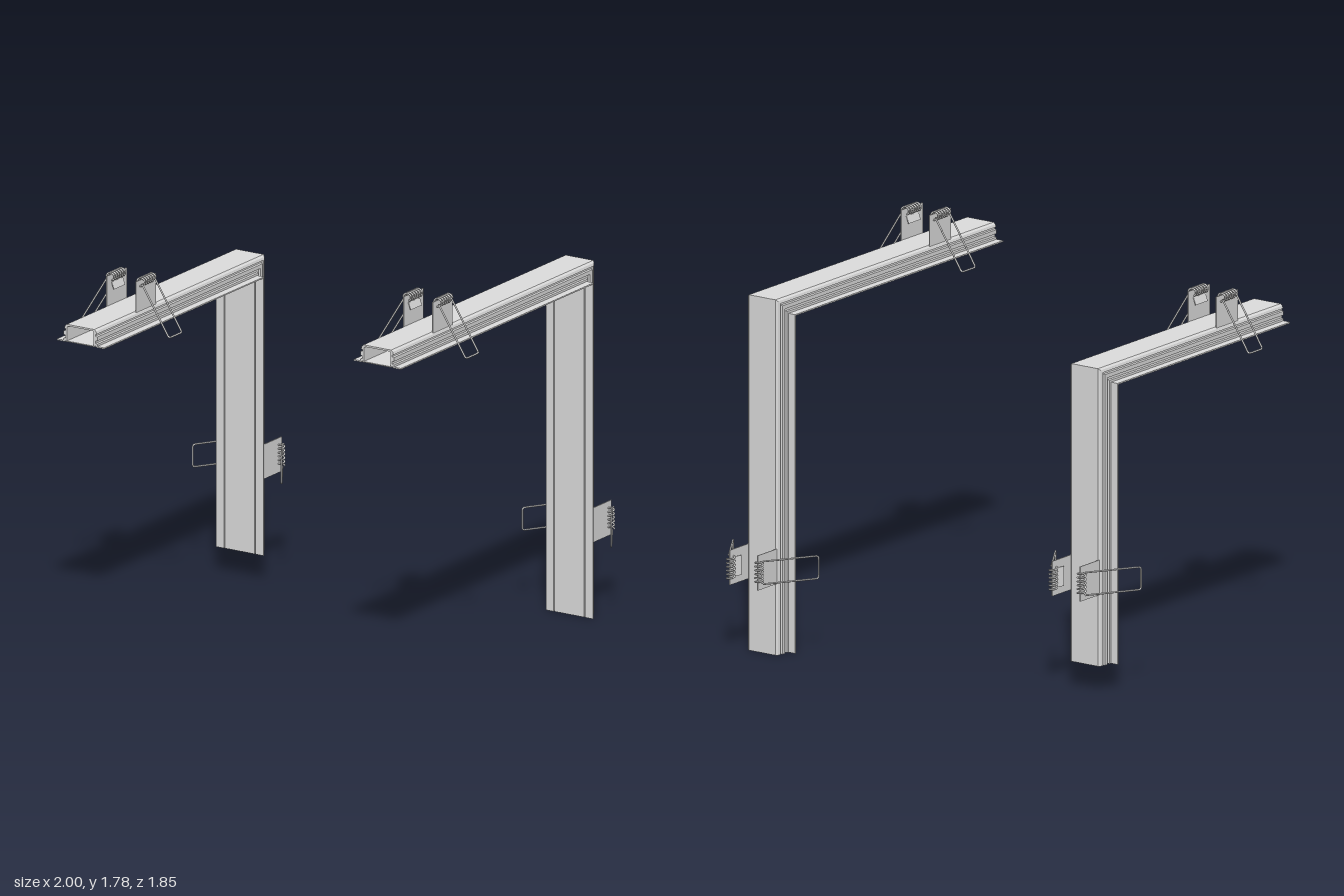
import * as THREE from 'three';

// Local arm frame: x across, y away from the visible face, z along the arm from the corner.
const aluminium = new THREE.MeshStandardMaterial({ color: 0xdddddd });
aluminium.name = 'aluminium';

function add(parent, name, geometry) {
  const mesh = new THREE.Mesh(geometry, aluminium);
  mesh.name = name;
  parent.add(mesh);
  return mesh;
}

// Extrudes a mirrored half profile and cuts a 45 degree mitre at the corner end.
function mitredBar(half, length) {
  const points = [...half, ...half.map(([x, y]) => [-x, y]).reverse()];
  const shape = new THREE.Shape(points.map(([x, y]) => new THREE.Vector2(x, y)));
  const geometry = new THREE.ExtrudeGeometry(shape, { depth: length, bevelEnabled: false, steps: 1 });
  const p = geometry.attributes.position;
  for (let i = 0; i < p.count; i++) {
    if (p.getZ(i) < 1e-6) p.setZ(i, -p.getY(i));
  }
  geometry.computeVertexNormals();
  return geometry;
}

// Ribbed channel with side flanges, open towards the visible face.
const channelHalf = [
  [0.066, 0.074], [0.07, 0.068], [0.07, 0.006], [0.083, 0.006], [0.083, 0],
  [0.125, 0], [0.125, 0.006], [0.089, 0.006], [0.089, 0.016], [0.079, 0.018],
  [0.079, 0.03], [0.089, 0.032], [0.089, 0.05], [0.079, 0.052], [0.079, 0.06],
  [0.086, 0.062], [0.082, 0.074], [0.073, 0.082],
];
const coverHalf = [[0.078, 0.001], [0.078, 0.005]];

class Helix extends THREE.Curve {
  getPoint(t, target = new THREE.Vector3()) {
    const a = t * Math.PI * 2 * 6;
    return target.set(Math.cos(a) * 0.018, Math.sin(a) * 0.018, (t - 0.5) * 0.105);
  }
}

// Bent wire loop with rounded outer corners.
function wireLoop() {
  const root = new THREE.Vector3(0.093, 0.203, 0);
  const tip = new THREE.Vector3(0.235, -0.021, 0);
  const at = (t, z) => root.clone().lerp(tip, t).setZ(z);
  const w = 0.052, r = 0.012, k = 0.955;
  const path = new THREE.CurvePath();
  path.add(new THREE.LineCurve3(at(0, -w), at(k, -w)));
  path.add(new THREE.QuadraticBezierCurve3(at(k, -w), at(1, -w), at(1, -w + r)));
  path.add(new THREE.LineCurve3(at(1, -w + r), at(1, w - r)));
  path.add(new THREE.QuadraticBezierCurve3(at(1, w - r), at(1, w), at(k, w)));
  path.add(new THREE.LineCurve3(at(k, w), at(0, w)));
  return new THREE.TubeGeometry(path, 90, 0.004, 14);
}

// Upright plate with a bent tongue, a coil spring and its wire loop.
function springClip() {
  const clip = new THREE.Group();
  clip.name = 'springClip';
  const plate = add(clip, 'clipPlate', new THREE.BoxGeometry(0.004, 0.158, 0.16));
  plate.position.set(0.077, 0.141, 0);
  const tongue = add(clip, 'clipTongue', new THREE.BoxGeometry(0.003, 0.035, 0.09));
  tongue.position.set(0.068, 0.168, 0);
  tongue.rotation.z = -0.35;
  const coil = add(clip, 'springCoil', new THREE.TubeGeometry(new Helix(), 140, 0.004, 14));
  coil.position.set(0.078, 0.21, 0);
  add(clip, 'springLoop', wireLoop());
  return clip;
}

function arm(name, length, clipAt) {
  const group = new THREE.Group();
  group.name = name;
  add(group, 'channel', mitredBar(channelHalf, length));
  add(group, 'cover', mitredBar(coverHalf, length));
  for (const turn of [0, Math.PI]) {
    const clip = springClip();
    clip.position.z = clipAt;
    clip.rotation.y = turn;
    group.add(clip);
  }
  return group;
}

// Two arms meeting at a mitred corner.
function cornerProfile(name, x, y, z, length, clipAt) {
  const group = new THREE.Group();
  group.name = name;
  const ceiling = arm('ceilingArm', length, clipAt);
  const wall = arm('wallArm', length, clipAt);
  wall.setRotationFromMatrix(new THREE.Matrix4().makeBasis(
    new THREE.Vector3(-1, 0, 0), new THREE.Vector3(0, 0, -1), new THREE.Vector3(0, -1, 0)));
  group.add(ceiling, wall);
  group.position.set(x, y, z);
  return group;
}

export function createModel() {
  const model = new THREE.Group();
  model.name = 'recessedCornerProfiles';
  model.add(cornerProfile('shortProfile', -0.764, 1.405, -0.355, 1.283, 0.875));
  model.add(cornerProfile('longProfile', 0.762, 1.548, -0.689, 1.548, 1.14));
  return model;
}
